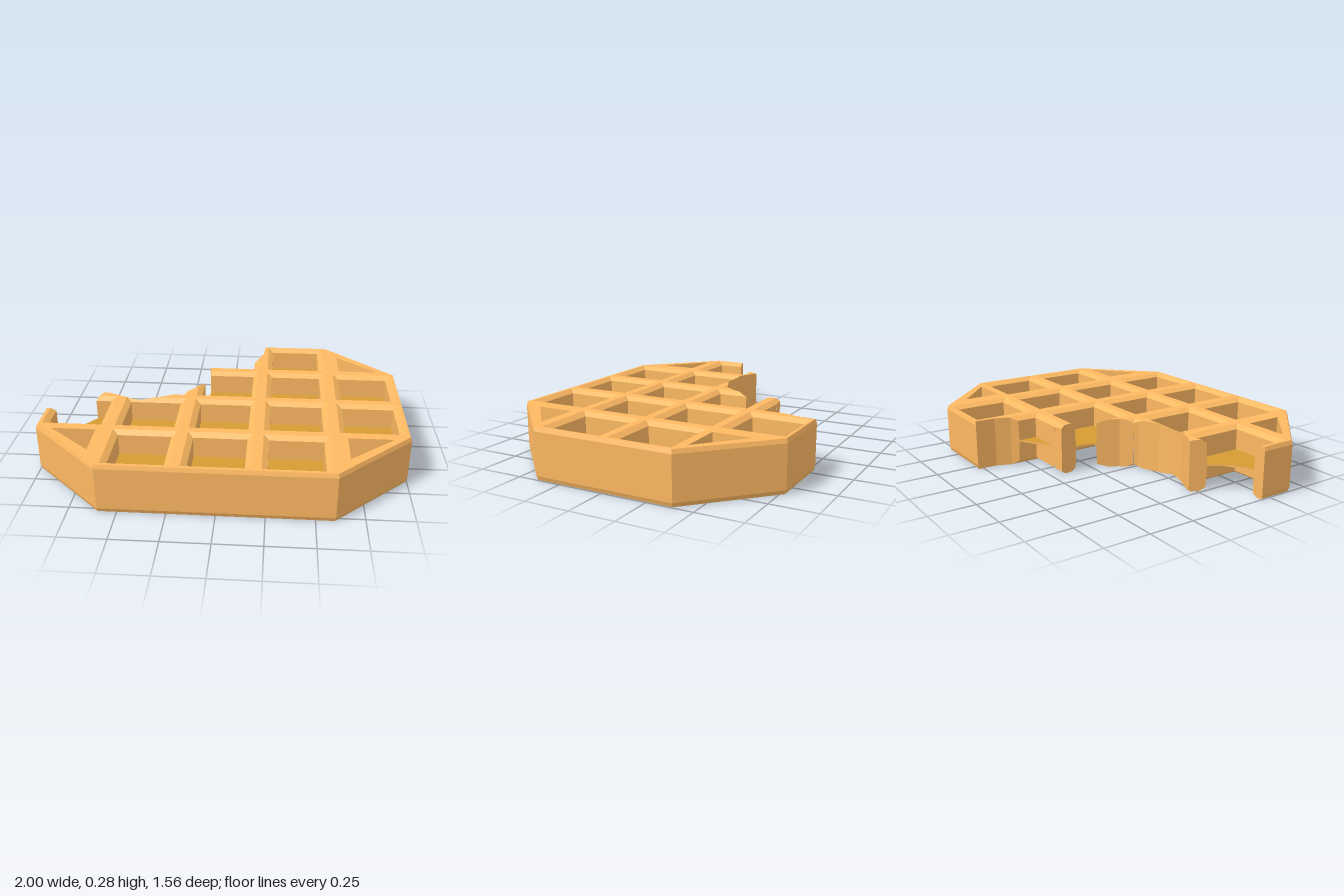
import * as THREE from 'three';

const H = 0.275;          // full thickness
const FLOOR = 0.142;      // top of the thin sheet inside the pockets
const RIM = 0.03;         // width of the sloped rim of each pocket
const DROP = 0.02;        // height of that rim
const HALF = 0.143;       // half width of a pocket at its floor

// The bite: three convex scallops, as [x, z] arcs running left to right
const arcs = [
  [[-1, 0.197], [-0.88, 0.174], [-0.8, 0.12], [-0.748, 0.05], [-0.71, -0.035]],
  [[-0.71, -0.035], [-0.576, 0.024], [-0.49, 0.035], [-0.39, 0.013], [-0.276, -0.04],
    [-0.2, -0.11], [-0.14, -0.23], [-0.115, -0.345], [-0.13, -0.44]],
  [[-0.13, -0.44], [-0.03, -0.45], [0.126, -0.534], [0.17, -0.59], [0.2, -0.67], [0.205, -0.78]],
];
const bites = [
  [[-1.1, 0.197], ...arcs[0], [-0.71, -0.9], [-1.1, -0.9]],
  [...arcs[1], [-0.3, -0.9], [-0.71, -0.9]],
  [...arcs[2], [0.205, -0.9], [-0.3, -0.9]],
];

// Keep the part of a 3D polygon on one side of the vertical plane through a and b
function clip(poly, a, b, sign) {
  const EPS = 1e-9;
  const side = (p) => sign * ((b[0] - a[0]) * (p.z - a[1]) - (b[1] - a[1]) * (p.x - a[0]));
  if (!poly.some((p) => side(p) > EPS)) return null;
  const out = [];
  poly.forEach((p, i) => {
    const q = poly[(i + 1) % poly.length];
    const s = side(p), t = side(q);
    if (s >= -EPS) out.push(p);
    if ((s > EPS && t < -EPS) || (s < -EPS && t > EPS)) out.push(p.clone().lerp(q, s / (s - t)));
  });
  return out.length > 2 ? out : null;
}

// Remove a convex vertical prism from a list of convex polygons
function subtract(polys, cutter) {
  const kept = [];
  for (const poly of polys) {
    let rest = poly;
    for (let i = 0; i < cutter.length && rest; i++) {
      const a = cutter[i], b = cutter[(i + 1) % cutter.length];
      const outside = clip(rest, a, b, 1);
      if (outside) kept.push(outside);
      rest = clip(rest, a, b, -1);
    }
  }
  return kept;
}

const loop = (points, y) => points.map(([x, z]) => new THREE.Vector3(x, y, z));

// Quads joining two loops of equal length
const ring = (from, to) => from.map((p, i) => {
  const j = (i + 1) % from.length;
  return [p, from[j], to[j], to[i]];
});

// Flat-faced mesh from convex polygons, optionally repeated upside down
function polyMesh(name, polys, color, mirrored) {
  const pos = [];
  const add = (poly) => {
    for (let i = 1; i < poly.length - 1; i++) {
      for (const p of [poly[0], poly[i], poly[i + 1]]) pos.push(p.x, p.y, p.z);
    }
  };
  for (const poly of polys) {
    add(poly);
    if (mirrored) add(poly.map((p) => new THREE.Vector3(p.x, H - p.y, p.z)).reverse());
  }
  const geo = new THREE.BufferGeometry();
  geo.setAttribute('position', new THREE.Float32BufferAttribute(pos, 3));
  geo.computeVertexNormals();
  const mesh = new THREE.Mesh(geo, new THREE.MeshStandardMaterial({ color, flatShading: true }));
  mesh.name = name;
  return mesh;
}

const square = (cx, cz, r) => [[cx - r, cz + r], [cx + r, cz + r], [cx + r, cz - r], [cx - r, cz - r]];
const octagon = (d) => {
  const x = 1 - d, z = 0.78 - d, u = 0.6 - d * 0.4, v = 0.39 - d * 0.4;
  return [[-u, z], [u, z], [x, v], [x, -v], [u, -z], [-u, -z], [-x, -v], [-x, v]];
};

// Square pockets on a grid, with triangles in the four corner cells
function pocketList() {
  const list = [];
  for (let i = 0; i < 5; i++) {
    for (let j = 0; j < 4; j++) {
      const cx = (i - 2) * 0.4, cz = (j - 1.5) * 0.39 - 0.004;
      if (i % 4 === 0 && j % 3 === 0) {
        const sx = Math.sign(cx), sz = Math.sign(cz);
        const tri = [[0.665, 0.42], [0.665, 0.63], [0.905, 0.42]].map(([x, z]) => [x * sx, z * sz]);
        if (sx * sz < 0) tri.reverse();
        list.push({ inner: tri, outer: tri });
      } else {
        list.push({ cx, cz, inner: square(cx, cz, HALF), outer: square(cx, cz, HALF + RIM) });
      }
    }
  }
  return list;
}

export function createModel() {
  const pockets = pocketList();
  const cutBites = (polys) => bites.reduce(subtract, polys);

  // Upper half of the lattice: top face, outer rim, pocket rims and walls
  let lattice = [loop(octagon(0.008), H)];
  for (const p of pockets) lattice = subtract(lattice, p.outer);
  lattice.push(...ring(loop(octagon(0), H - 0.022), loop(octagon(0.008), H)));
  lattice.push(...ring(loop(octagon(0), H / 2), loop(octagon(0), H - 0.022)));
  const floors = [];
  for (const p of pockets) {
    const rimY = p.inner === p.outer ? H : H - DROP;
    if (rimY < H) lattice.push(...ring(loop(p.outer, H), loop(p.inner, rimY)));
    lattice.push(...ring(loop(p.inner, rimY), loop(p.inner, FLOOR)));
    floors.push(loop(p.inner, FLOOR));
  }

  // Height of the top surface, used for the wall left by the bite
  const height = (x, z) => {
    for (const p of pockets) {
      if (p.cx === undefined) continue;
      const d = Math.max(Math.abs(x - p.cx), Math.abs(z - p.cz));
      if (d < HALF) return FLOOR;
      if (d < HALF + RIM) return H - (HALF + RIM - d) * DROP / RIM;
    }
    return H;
  };
  const biteWall = [];
  for (const arc of arcs) {
    for (let k = 0; k < arc.length - 1; k++) {
      const [a, b] = [arc[k], arc[k + 1]];
      const n = Math.ceil(Math.hypot(b[0] - a[0], b[1] - a[1]) / 0.004);
      const edge = (i) => {
        const x = a[0] + (b[0] - a[0]) * i / n, z = a[1] + (b[1] - a[1]) * i / n, h = height(x, z);
        return [new THREE.Vector3(x, H - h, z), new THREE.Vector3(x, h, z)];
      };
      for (let i = 0; i < n; i++) {
        const [lo, hi] = edge(i), [lo2, hi2] = edge(i + 1);
        biteWall.push([lo, hi, hi2, lo2]);
      }
    }
  }

  const group = new THREE.Group();
  group.name = 'bittenWaffle';
  group.add(
    polyMesh('lattice', cutBites(lattice), 0xfeb962, true),
    polyMesh('pocketFloors', cutBites(floors), 0xd79b33, true),
    polyMesh('bittenEdge', biteWall, 0xfeb962, false),
  );
  return group;
}
